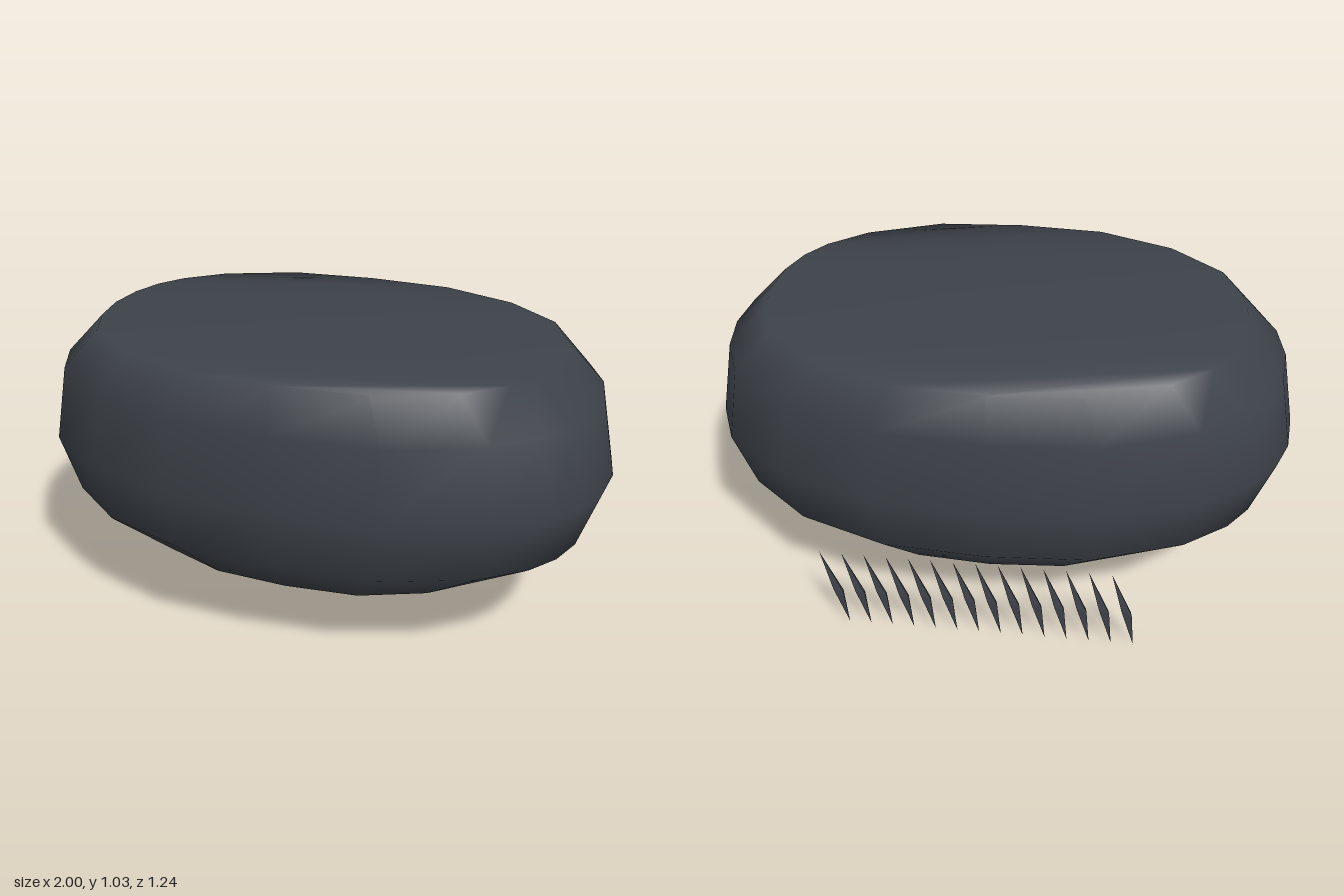
import * as THREE from 'three';
import { ConvexGeometry } from 'three/addons/geometries/ConvexGeometry.js';

// Half of the plan outline; the other half is the same turned by 180 degrees
const HALF = [[1, 0], [0.98, 0.15], [0.93, 0.27], [0.85, 0.37], [0.69, 0.485], [0.37, 0.597],
  [0, 0.62], [-0.37, 0.597], [-0.69, 0.485], [-0.91, 0.31], [-0.98, 0.15]];
const OUTLINE = [...HALF, ...HALF.map(([x, z]) => [-x, -z])];

// Levels of the body from bottom to top: height, half width, half depth
const LEVELS = [[0.27, 0.675, 0.475], [0.41, 0.93, 0.587], [0.615, 1, 0.62],
  [0.885, 0.945, 0.605], [1.03, 0.805, 0.55]];

function bodyGeometry() {
  const n = OUTLINE.length, pos = [], index = [];
  for (const [y, w, d] of LEVELS) {
    for (const [x, z] of OUTLINE) pos.push(x * w, y, z * d / 0.62);
  }
  // Side walls
  for (let r = 0; r < LEVELS.length - 1; r++) {
    for (let i = 0; i < n; i++) {
      const a = r * n + i, b = r * n + (i + 1) % n;
      index.push(a, a + n, b, b, a + n, b + n);
    }
  }
  // Flat caps, closed by a zigzag strip that shares the rim vertices
  const cap = (base, up) => {
    let lo = 16, hi = 16 + n - 1;
    for (let k = 0; k < n - 2; k++) {
      const tri = k % 2 ? [lo, hi - 1, hi] : [lo, lo + 1, hi];
      if (k % 2) hi--; else lo++;
      if (up) tri.reverse();
      index.push(...tri.map((i) => base + i % n));
    }
  };
  cap(0, false);
  cap((LEVELS.length - 1) * n, true);

  const geo = new THREE.BufferGeometry();
  geo.setAttribute('position', new THREE.Float32BufferAttribute(pos, 3));
  geo.setIndex(index);
  geo.computeVertexNormals();
  return geo;
}

// Curved, pointed bristle with its tip on the ground
function bristleGeometry() {
  const v = (x, y, z) => new THREE.Vector3(x, y, z);
  return new ConvexGeometry([
    v(0, 0, -0.54),
    v(0.013, 0.14, -0.538), v(0.016, 0.14, -0.524),
    v(0.048, 0.15, -0.536), v(0.046, 0.15, -0.524),
    v(0.09, 0.3, -0.51),
  ]);
}

export function createModel() {
  const model = new THREE.Group();
  const charcoal = new THREE.MeshStandardMaterial({ color: 0x3e434a });
  charcoal.name = 'charcoal';

  const body = new THREE.Mesh(bodyGeometry(), charcoal);
  body.name = 'body';
  model.add(body);

  // Row of bristles along the back
  const row = new THREE.Group();
  row.name = 'bristleRow';
  const geo = bristleGeometry();
  for (let i = 0; i < 14; i++) {
    const bristle = new THREE.Mesh(geo, charcoal);
    bristle.name = 'bristle';
    bristle.position.x = -0.505 + i * 0.077;
    row.add(bristle);
  }
  model.add(row);
  return model;
}
